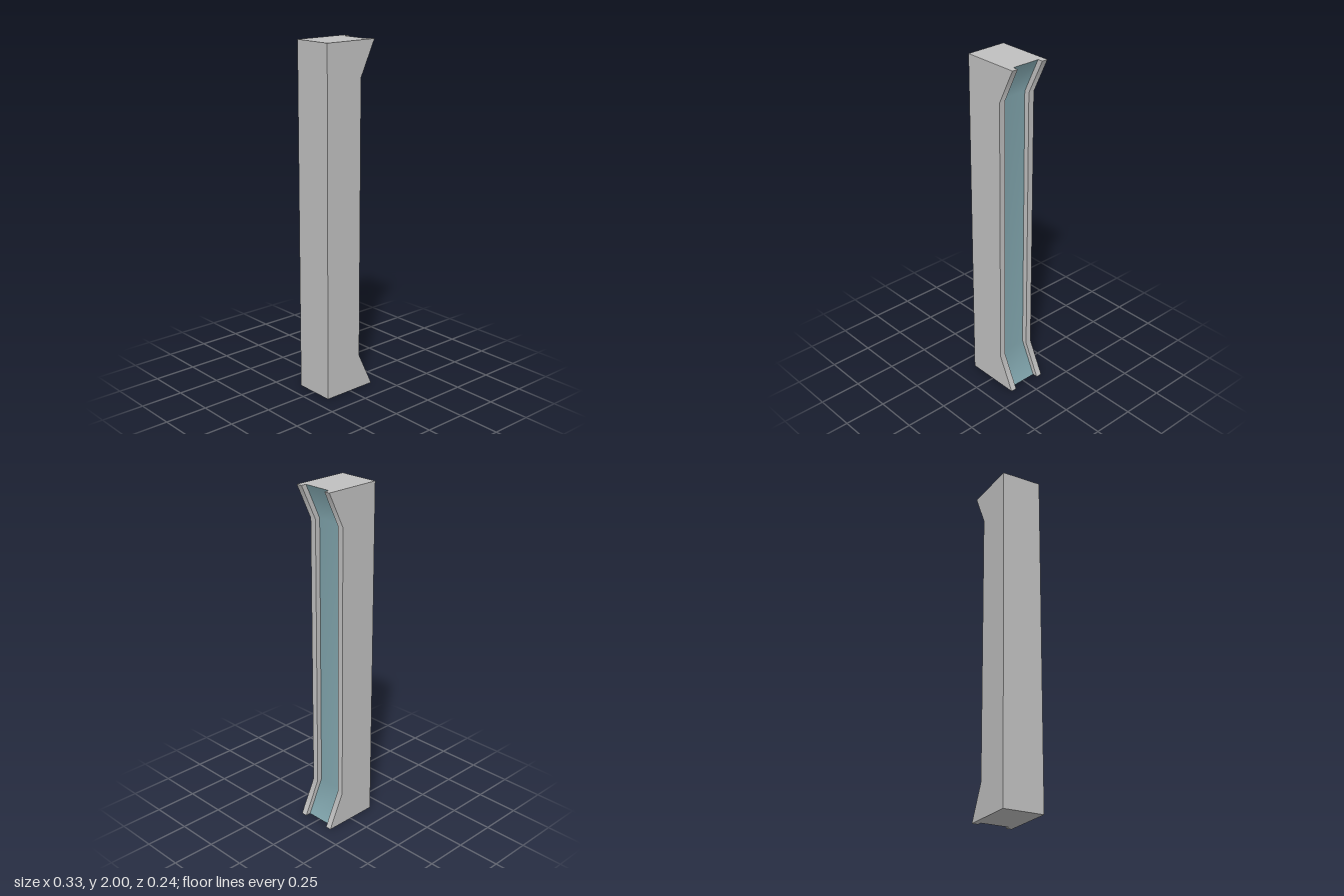
import * as THREE from 'three';
import { mergeGeometries } from 'three/addons/utils/BufferGeometryUtils.js';

const BACK = -0.167;
const DEPTH = 0.031; // recess depth
// Height and x of the flared face
const PROFILE = [[0, 0.166], [0.2, 0.07], [1.8, 0.07], [2, 0.166]];

// Cross-section loop: inset from the flared face (null = flat back), z
const SECTION = [
  [null, 0.12], [0, 0.12], [0, 0.084], [DEPTH, 0.084],
  [DEPTH, -0.084], [0, -0.084], [0, -0.12], [null, -0.12],
];
const RECESS = 3; // index of the section edge on the recess floor

const xAt = (inset, face) => (inset === null ? BACK : face - inset);

// One surface running the full height between two section points
function strip(a, b) {
  const pos = [], index = [];
  PROFILE.forEach(([y, face], i) => {
    for (const [inset, z] of [a, b]) pos.push(xAt(inset, face), y, z);
    if (i) {
      const k = 2 * (i - 1);
      index.push(k, k + 1, k + 3, k, k + 3, k + 2);
    }
  });
  const g = new THREE.BufferGeometry();
  g.setAttribute('position', new THREE.Float32BufferAttribute(pos, 3));
  g.setIndex(index);
  g.computeVertexNormals();
  return g;
}

// Flat end of the section, facing up or down
function cap(up) {
  const [y, face] = PROFILE[up ? PROFILE.length - 1 : 0];
  const shape = new THREE.Shape(SECTION.map(([inset, z]) => new THREE.Vector2(xAt(inset, face), z)));
  const g = new THREE.ShapeGeometry(shape);
  g.rotateX(up ? -Math.PI / 2 : Math.PI / 2).translate(0, y, 0);
  g.deleteAttribute('uv');
  return g;
}

export function createModel() {
  const grey = new THREE.MeshStandardMaterial({ color: 0xc0c0c0 });
  grey.name = 'light grey';
  const teal = new THREE.MeshStandardMaterial({ color: 0x80a4ac });
  teal.name = 'muted teal';

  const strips = SECTION.map((p, i) => strip(p, SECTION[(i + 1) % SECTION.length]));

  // Body: sides, rims, recess walls, back and ends
  const body = new THREE.Mesh(
    mergeGeometries([...strips.filter((_, i) => i !== RECESS), cap(true), cap(false)]), grey);
  body.name = 'postBody';

  // Coloured floor of the recess
  const panel = new THREE.Mesh(strips[RECESS], teal);
  panel.name = 'recessPanel';

  const group = new THREE.Group();
  group.name = 'flaredPost';
  group.add(body, panel);
  return group;
}
